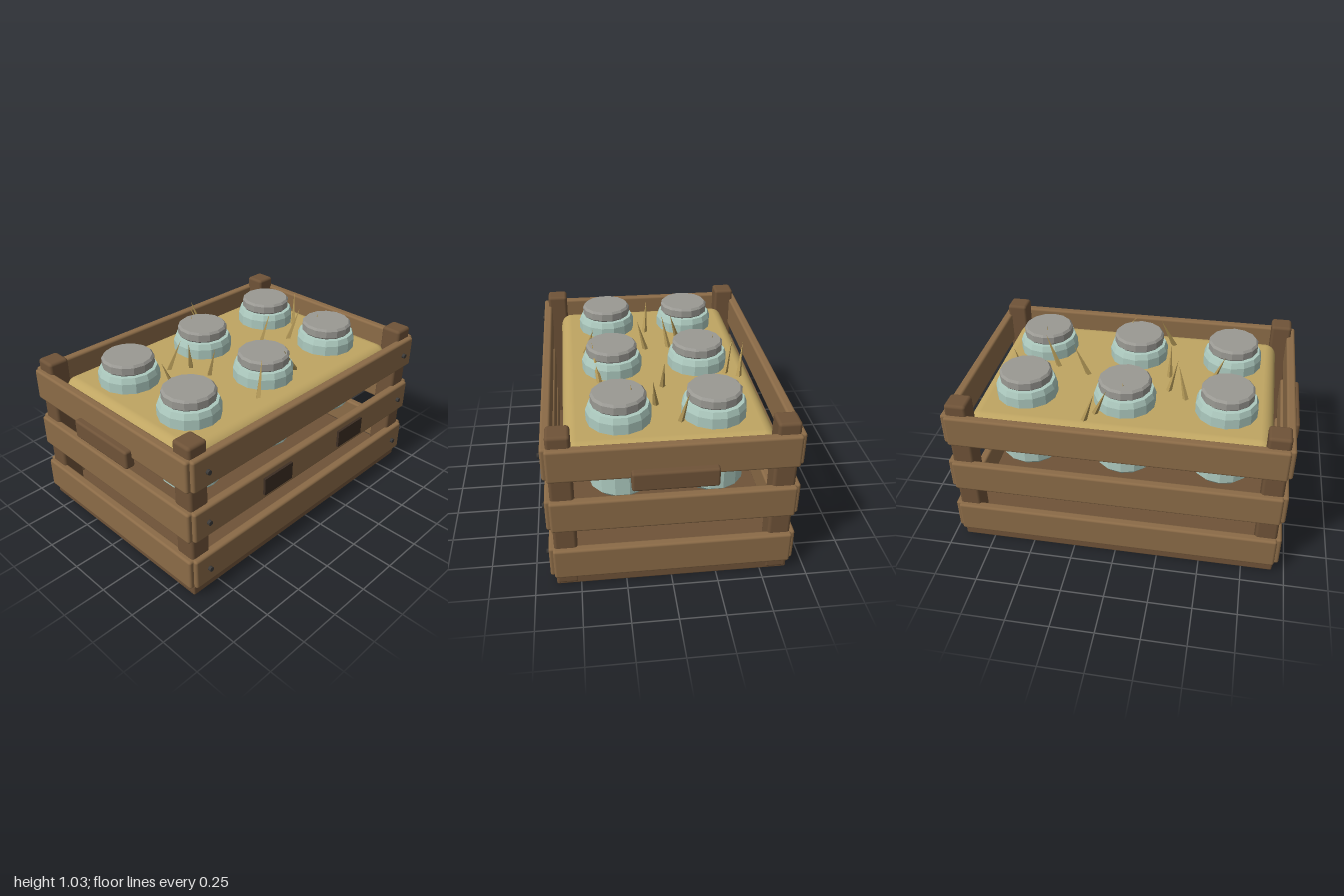
import * as THREE from 'three';
import { RoundedBoxGeometry } from 'three/addons/geometries/RoundedBoxGeometry.js';

const mat = (color, flatShading = false) => {
  const m = new THREE.MeshStandardMaterial({ color });
  m.flatShading = flatShading;
  return m;
};

export function createModel() {
  const root = new THREE.Group();
  root.name = 'crateOfJars';
  const crate = new THREE.Group();
  crate.name = 'crate';
  crate.position.z = -0.008; // bolts and plates stick out on the front only
  root.add(crate);

  const slatWood = mat(0x8b6b47);
  const darkWood = mat(0x6f5338);
  const plateMat = mat(0x3d2e23);
  const boltMat = mat(0x3c3a38);
  const bedMat = mat(0xbfa562);
  const bladeMat = mat(0xb59a58, true);
  const glassMat = mat(0xadcabf, true);
  const lidMat = mat(0x9a9993, true);

  const add = (name, geometry, material, x, y, z, parent = crate) => {
    const mesh = new THREE.Mesh(geometry, material);
    mesh.name = name;
    mesh.position.set(x, y, z);
    parent.add(mesh);
    return mesh;
  };
  const box = (name, material, w, h, d, x, y, z, r = 0.014, seg = 2) =>
    add(name, new RoundedBoxGeometry(w, h, d, seg, r), material, x, y, z);

  // Floor board and corner posts
  box('floorBoard', darkWood, 1.86, 0.065, 1.284, 0, 0.0325, 0, 0.01);
  for (const sx of [-1, 1]) for (const sz of [-1, 1])
    box('cornerPost', darkWood, 0.124, 0.96, 0.124, sx * 0.871, 0.485, sz * 0.58, 0.018);

  // Three rows of slats around the crate, bolted at the front
  const boltGeo = new THREE.CylinderGeometry(0.014, 0.014, 0.03, 10).rotateX(Math.PI / 2);
  for (const y of [0.165, 0.485, 0.805]) {
    for (const s of [-1, 1]) {
      box('longSlat', slatWood, 1.87, 0.19, 0.052, 0, y, s * 0.646);
      box('sideSlat', slatWood, 0.052, 0.19, 1.298, s * 0.935, y, 0);
      add('bolt', boltGeo, boltMat, s * 0.84, y, 0.674);
    }
  }

  // Side handles and front plates
  for (const s of [-1, 1]) {
    box('handle', darkWood, 0.06, 0.11, 0.45, s * 0.97, 0.711, 0);
    add('frontPlate', new THREE.BoxGeometry(0.224, 0.108, 0.03), plateMat, s * 0.321, 0.484, 0.672);
  }

  // Straw bed with soft edges
  box('strawBed', bedMat, 1.7, 0.21, 1.12, 0, 0.735, 0, 0.07, 4);

  // Faceted jars with lids
  const lathe = (pts) => new THREE.LatheGeometry(pts.map(([r, y]) => new THREE.Vector2(r, y)), 14);
  const jarGeo = lathe([[0, 0.42], [0.15, 0.42], [0.178, 0.45], [0.178, 0.9], [0.165, 0.934], [0.13, 0.937], [0, 0.937]]);
  const lidGeo = lathe([[0, 0.934], [0.14, 0.934], [0.151, 0.945], [0.151, 0.987], [0.139, 1.0], [0, 1.0]]);
  for (const x of [-0.58, 0, 0.578]) for (const z of [-0.258, 0.258]) {
    const jar = new THREE.Group();
    jar.name = 'jar';
    jar.position.set(x, 0, z);
    crate.add(jar);
    add('jarBody', jarGeo, glassMat, 0, 0, 0, jar);
    add('jarLid', lidGeo, lidMat, 0, 0, 0, jar);
  }

  // Loose straw blades: base x, base z, tip x, tip z
  const blades = [
    [-0.345, -0.19, -0.29, -0.13], [-0.23, -0.115, -0.28, -0.075], [-0.22, 0.03, -0.22, 0.085],
    [-0.21, 0.415, -0.125, 0.36], [-0.465, 0.017, -0.545, -0.005], [0.26, -0.015, 0.35, -0.015],
    [0.46, 0.043, 0.54, 0.07], [0.645, -0.065, 0.69, -0.105], [0.155, -0.4, 0.07, -0.455],
    [0.2, -0.475, 0.13, -0.505], [0.2, 0.34, 0.04, 0.375], [0.005, -0.335, -0.005, -0.35],
    [0.565, 0.18, 0.57, 0.19],
  ];
  const up = new THREE.Vector3(0, 1, 0);
  for (const [bx, bz, tx, tz] of blades) {
    const base = new THREE.Vector3(bx, 0.82, bz);
    const dir = new THREE.Vector3(tx, 1.03, tz).sub(base);
    const len = dir.length();
    const geo = new THREE.ConeGeometry(0.019, len, 4).translate(0, len / 2, 0);
    add('strawBlade', geo, bladeMat, base.x, base.y, base.z)
      .quaternion.setFromUnitVectors(up, dir.normalize());
  }
  return root;
}
